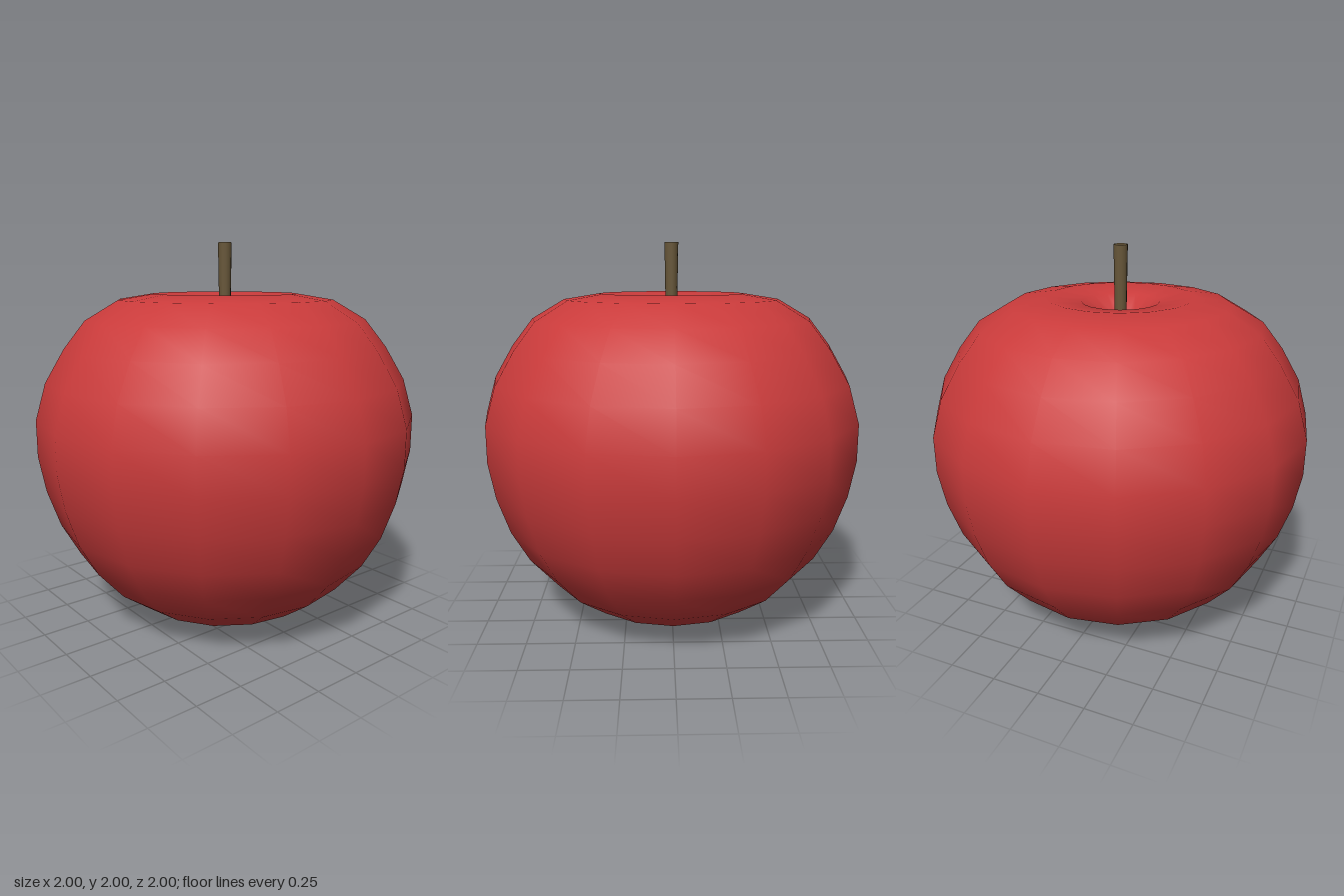
import * as THREE from 'three';

const SIDES = 16;

export function createModel() {
  const mat = (name, color) => {
    const m = new THREE.MeshStandardMaterial({ color });
    m.name = name;
    return m;
  };
  const red = mat('red skin', 0xca3b3b);
  const ochre = mat('ochre base', 0xb57d2a);
  const brown = mat('brown stem', 0x685739);

  const model = new THREE.Group();
  model.name = 'apple';

  // Fruit outline, from the pit underneath, round the side, into the stem hollow
  const profile = [
    [0, 0.33], [0.035, 0.25], [0.09, 0.1], [0.2, 0.005], [0.37, 0.037],
    [0.5, 0.09], [0.665, 0.21], [0.805, 0.37], [0.9, 0.54], [0.965, 0.73],
    [1, 0.92], [1, 1.11], [0.945, 1.3], [0.845, 1.47], [0.735, 1.61],
    [0.565, 1.71], [0.38, 1.74], [0.2, 1.715], [0.1, 1.63], [0.04, 1.5], [0, 1.43],
  ].map(([r, y]) => new THREE.Vector2(r, y));
  profile.forEach((p) => { if (p.y === 0.005) p.y = 0; });

  // One smooth surface; the lowest bands of each segment take the base colour
  const geo = new THREE.LatheGeometry(profile, SIDES);
  const bands = profile.length - 1;
  const baseBands = 4;
  for (let i = 0; i < SIDES; i++) {
    const start = i * bands * 6;
    geo.addGroup(start, baseBands * 6, 1);
    geo.addGroup(start + baseBands * 6, (bands - baseBands) * 6, 0);
  }
  const fruit = new THREE.Mesh(geo, [red, ochre]);
  fruit.name = 'fruit';
  model.add(fruit);

  // Stem, slightly wider at the tip
  const stem = new THREE.Mesh(new THREE.CylinderGeometry(0.036, 0.027, 0.56, 12), brown);
  stem.name = 'stem';
  stem.position.y = 1.72;
  model.add(stem);

  return model;
}
